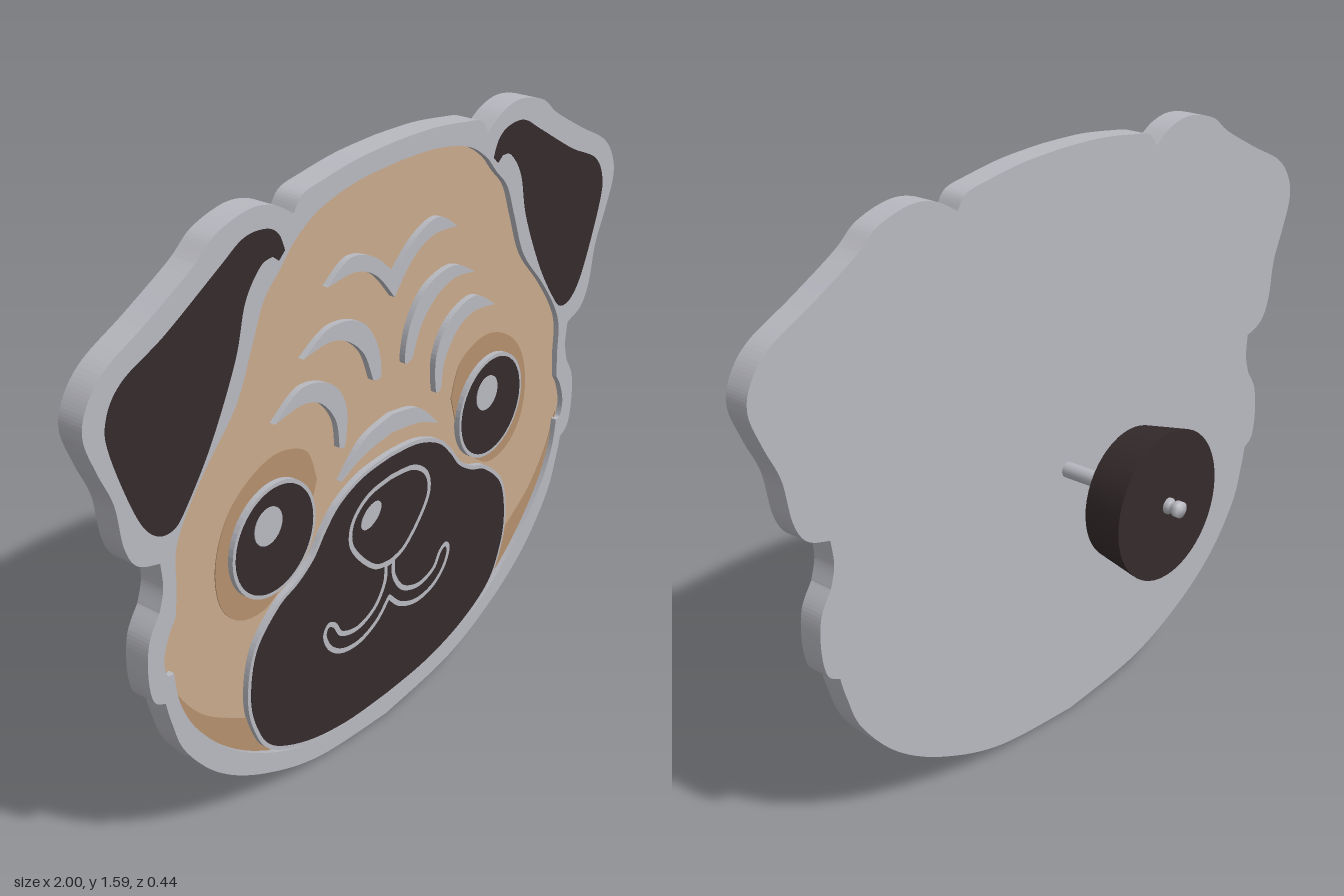
import * as THREE from 'three';

const mat = (name, color, side = THREE.FrontSide) => {
  const m = new THREE.MeshStandardMaterial({ color, side });
  m.name = name;
  return m;
};

// Join smooth runs of points; a corner stays sharp where two runs meet.
function smooth(...runs) {
  const out = [];
  for (const run of runs) {
    const pts = run.map(([x, y]) => new THREE.Vector2(x, y));
    const line = pts.length > 2 ? new THREE.SplineCurve(pts).getPoints((pts.length - 1) * 8) : pts;
    for (const p of line) if (!out.length || out[out.length - 1].distanceTo(p) > 1e-4) out.push(p);
  }
  if (out[0].distanceTo(out[out.length - 1]) < 1e-4) out.pop();
  return out;
}
const flip = (pts) => pts.map((p) => new THREE.Vector2(-p.x, p.y));

// Full symmetric outline from its +x half, which starts and ends on x = 0.
function symmetric(half) {
  const other = flip(half).reverse().filter((p) => Math.abs(p.x) > 1e-4);
  return [...half, ...other];
}

// Move a closed outline outwards by d.
function offset(points, d) {
  const pts = THREE.ShapeUtils.isClockWise(points) ? [...points].reverse() : points;
  const n = pts.length;
  return pts.map((p, i) => {
    const t = pts[(i + 1) % n].clone().sub(pts[(i + n - 1) % n]).normalize();
    return new THREE.Vector2(p.x + t.y * d, p.y - t.x * d);
  });
}

function slab(points, z0, z1, hole) {
  const shape = new THREE.Shape(points);
  if (hole) shape.holes.push(new THREE.Path(hole));
  const g = new THREE.ExtrudeGeometry(shape, { depth: z1 - z0, bevelEnabled: false });
  return g.translate(0, 0, z0);
}

// Flat closed line of half width w.
function ribbon(points, w, z) {
  const outer = offset(points, w), inner = offset(points, -w), n = outer.length;
  const pos = [], index = [];
  for (let i = 0; i < n; i++) {
    pos.push(outer[i].x, outer[i].y, z, inner[i].x, inner[i].y, z);
    const a = 2 * i, b = 2 * ((i + 1) % n);
    index.push(a, b, a + 1, b, b + 1, a + 1);
  }
  const g = new THREE.BufferGeometry();
  g.setAttribute('position', new THREE.Float32BufferAttribute(pos, 3));
  g.setIndex(index);
  g.computeVertexNormals();
  return g;
}

const ellipse = (x, y, rx, ry, turn = 0) =>
  new THREE.EllipseCurve(x, y, rx, ry, 0, Math.PI * 2, false, turn).getPoints(48).slice(0, -1);

export function createModel() {
  const metal = mat('silver metal', 0xb8b9c0, THREE.DoubleSide);
  const tan = mat('tan enamel', 0xc8aa8c);
  const shade = mat('dark tan enamel', 0xb4906e);
  const black = mat('black enamel', 0x352b2c);

  const group = new THREE.Group();
  group.name = 'dogPin';
  const add = (name, geometry, material) => {
    const m = new THREE.Mesh(geometry, material);
    m.name = name;
    group.add(m);
    return m;
  };

  const BACK = 0.15, FLOOR = 0.195, TOP = 0.216;

  // Outer silhouette: crown, ear, cheek tuft, jaw
  const outline = symmetric(smooth(
    [[0, 1.585], [0.14, 1.58], [0.26, 1.565], [0.335, 1.55], [0.365, 1.515]],
    [[0.365, 1.515], [0.43, 1.553], [0.51, 1.565], [0.61, 1.54], [0.68, 1.49], [0.81, 1.42], [0.93, 1.36],
      [0.985, 1.3], [1, 1.235], [0.97, 1.15], [0.93, 1.06], [0.91, 0.95], [0.875, 0.89], [0.81, 0.865]],
    [[0.81, 0.865], [0.805, 0.8], [0.82, 0.745]],
    [[0.82, 0.745], [0.855, 0.685], [0.863, 0.6], [0.85, 0.53], [0.815, 0.505]],
    [[0.815, 0.505], [0.8, 0.445], [0.76, 0.34], [0.65, 0.21], [0.49, 0.107], [0.28, 0.03], [0, 0]],
  ));

  // Enamel face area
  const face = symmetric(smooth(
    [[0, 1.535], [0.15, 1.528], [0.28, 1.5], [0.36, 1.455], [0.41, 1.405], [0.465, 1.35], [0.505, 1.26],
      [0.56, 1.14], [0.66, 1.03], [0.73, 0.94], [0.762, 0.87], [0.765, 0.78], [0.772, 0.71]],
    [[0.772, 0.71], [0.795, 0.675], [0.813, 0.62], [0.805, 0.575], [0.785, 0.57]],
    [[0.785, 0.57], [0.77, 0.48], [0.72, 0.38], [0.62, 0.265], [0.5, 0.175], [0.35, 0.105], [0.18, 0.072], [0, 0.06]],
  ));

  add('backPlate', slab(outline, BACK, FLOOR), metal);
  add('rim', slab(outline, FLOOR, TOP, face), metal);
  add('face', slab(face, FLOOR, FLOOR + 0.005), tan);

  // Muzzle with a metal border
  const muzzle = symmetric(smooth(
    [[0, 0.78], [0.11, 0.77], [0.2, 0.735], [0.255, 0.685], [0.3, 0.63], [0.36, 0.59], [0.43, 0.56], [0.51, 0.48],
      [0.535, 0.36], [0.515, 0.26], [0.46, 0.175], [0.33, 0.11], [0.17, 0.075], [0, 0.067]],
  ));
  add('muzzleBorder', slab(offset(muzzle, 0.011), FLOOR, TOP - 0.0005), metal);
  add('muzzle', slab(muzzle, TOP - 0.001, TOP + 0.001), black);

  // Nose and mouth lines
  const nose = symmetric(smooth(
    [[0, 0.725], [0.09, 0.713], [0.15, 0.67], [0.162, 0.61], [0.125, 0.55], [0.06, 0.492], [0, 0.477]],
  ));
  add('noseLine', ribbon(nose, 0.007, TOP + 0.0025), metal);
  const mouth = symmetric(smooth(
    [[0, 0.475], [0.016, 0.475]],
    [[0.016, 0.475], [0.02, 0.425], [0.06, 0.37], [0.13, 0.345], [0.195, 0.362], [0.222, 0.4], [0.248, 0.413],
      [0.262, 0.388], [0.24, 0.342], [0.19, 0.308], [0.12, 0.3], [0.05, 0.325], [0, 0.372]],
  ));
  add('mouthLine', ribbon(mouth, 0.007, TOP + 0.0025), metal);
  add('noseHighlight', slab(ellipse(-0.08, 0.65, 0.043, 0.028, 0.5), TOP, TOP + 0.003), metal);

  // Symmetric forehead wrinkles
  const browWrinkle = symmetric(smooth(
    [[0, 1.265], [0.08, 1.33], [0.17, 1.355], [0.25, 1.31]],
    [[0.25, 1.31], [0.15, 1.315], [0.07, 1.28], [0, 1.205]],
  ));
  add('browWrinkle', slab(browWrinkle, FLOOR, TOP), metal);
  const noseWrinkle = symmetric(smooth(
    [[0, 0.897], [0.11, 0.872], [0.197, 0.795]],
    [[0.197, 0.795], [0.11, 0.83], [0, 0.847]],
  ));
  add('noseWrinkle', slab(noseWrinkle, FLOOR, TOP), metal);

  // Paired details
  const ear = smooth(
    [[0.395, 1.443], [0.415, 1.485], [0.455, 1.508], [0.525, 1.508], [0.605, 1.465], [0.765, 1.375], [0.89, 1.318],
      [0.938, 1.25], [0.932, 1.17], [0.87, 1.005], [0.82, 0.938], [0.765, 0.928], [0.72, 0.97], [0.64, 1.085],
      [0.56, 1.245], [0.525, 1.365], [0.475, 1.43], [0.435, 1.44]],
    [[0.435, 1.44], [0.415, 1.425]],
  );
  const upperWrinkle = smooth(
    [[0.335, 1.165], [0.24, 1.21], [0.13, 1.187], [0.065, 1.11], [0.047, 1.02], [0.078, 1.018]],
    [[0.078, 1.018], [0.115, 1.1], [0.18, 1.155], [0.25, 1.175], [0.335, 1.165]],
  );
  const lowerWrinkle = smooth(
    [[0.435, 1.043], [0.34, 1.097], [0.235, 1.067], [0.18, 0.99], [0.183, 0.89], [0.205, 0.89]],
    [[0.205, 0.89], [0.218, 0.965], [0.27, 1.03], [0.34, 1.055], [0.435, 1.043]],
  );
  const eyeShade = smooth(
    [[0.272, 0.83], [0.31, 0.92], [0.41, 0.957], [0.51, 0.93], [0.59, 0.86], [0.628, 0.75], [0.61, 0.64],
      [0.54, 0.575], [0.44, 0.575], [0.33, 0.68], [0.272, 0.83]],
  );
  const cheekShade = smooth(
    [[0.8, 0.585], [0.755, 0.48], [0.67, 0.38], [0.52, 0.285]],
    [[0.52, 0.285], [0.45, 0.14]],
    [[0.45, 0.14], [0.52, 0.165], [0.65, 0.265], [0.75, 0.39], [0.8, 0.5], [0.8, 0.585]],
  );
  for (const [side, s] of [['left', 1], ['right', -1]]) {
    const put = (pts) => (s > 0 ? pts : flip(pts));
    add(side + 'Ear', slab(put(ear), TOP - 0.001, TOP + 0.001), black);
    add(side + 'UpperWrinkle', slab(put(upperWrinkle), FLOOR, TOP), metal);
    add(side + 'LowerWrinkle', slab(put(lowerWrinkle), FLOOR, TOP), metal);
    add(side + 'EyeShade', slab(put(eyeShade), FLOOR, FLOOR + 0.007), shade);
    add(side + 'CheekShade', slab(put(cheekShade), FLOOR, FLOOR + 0.007), shade);
    const ex = 0.44 * s;
    add(side + 'EyeRing', slab(ellipse(ex, 0.75, 0.146, 0.146), FLOOR, TOP), metal);
    add(side + 'Eye', slab(ellipse(ex, 0.75, 0.136, 0.136), TOP - 0.001, TOP + 0.001), black);
    add(side + 'EyeHighlight', slab(ellipse(ex - 0.025, 0.797, 0.048, 0.048), TOP, TOP + 0.003), metal);
  }

  // Pin post with a grooved tip, and the clutch that holds it
  const profile = [[0, -0.16], [0.021, -0.16], [0.021, 0.185], [0.015, 0.19], [0.015, 0.198],
    [0.021, 0.203], [0.021, 0.22], [0, 0.222]].map(([r, y]) => new THREE.Vector2(r, y));
  const post = add('post', new THREE.LatheGeometry(profile, 24), metal);
  post.rotation.x = -Math.PI / 2;
  post.position.y = 0.737;
  const clutch = add('clutch', new THREE.CylinderGeometry(0.197, 0.174, 0.122, 48), black);
  clutch.rotation.x = -Math.PI / 2;
  clutch.position.set(0, 0.737, -0.117);

  return group;
}
